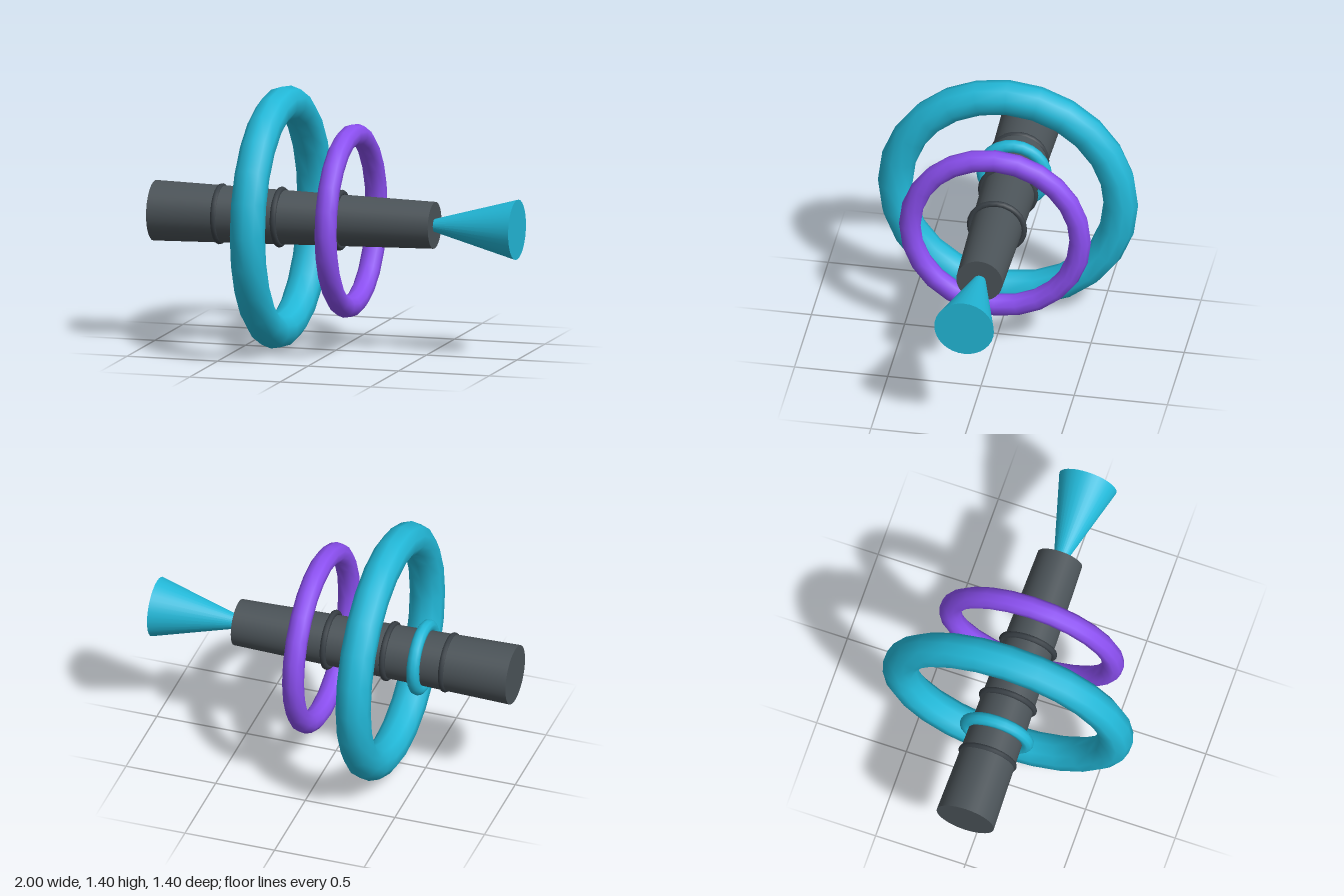
import * as THREE from 'three';

const AXIS_Y = 0.702;

export function createModel() {
  const model = new THREE.Group();
  const cyan = new THREE.MeshStandardMaterial({ color: 0x22b8d8 });
  const purple = new THREE.MeshStandardMaterial({ color: 0x8b4ff0 });
  const metal = new THREE.MeshStandardMaterial({ color: 0x4b5358 });
  const darkMetal = new THREE.MeshStandardMaterial({ color: 0x394046 });

  function add(name, geometry, material, x) {
    const mesh = new THREE.Mesh(geometry, material);
    mesh.name = name;
    mesh.position.set(x, AXIS_Y, 0);
    model.add(mesh);
  }

  // Tapered round part along x, from x0 (radius r0) to x1 (radius r1)
  function taper(name, x0, r0, x1, r1, material) {
    const geometry = new THREE.CylinderGeometry(r1, r0, x1 - x0, 32).rotateZ(-Math.PI / 2);
    add(name, geometry, material, (x0 + x1) / 2);
  }

  // Ring around the x axis
  function ring(name, x, radius, tube, material, sides = 10) {
    add(name, new THREE.TorusGeometry(radius, tube, sides, 24).rotateY(Math.PI / 2), material, x);
  }

  // Barrel and flared nozzle, whose tip sits inside the barrel
  taper('barrel', -1, 0.16, 0.545, 0.124, metal);
  taper('nozzle', 0.42, 0, 1, 0.16, cyan);

  // Thin bands on the barrel
  for (let i = 0; i < 3; i++) ring('barrelBand', -0.635 + i * 0.33, 0.145, 0.017, darkMetal, 8);

  // Coloured rings
  ring('collarRing', -0.487, 0.171, 0.034, cyan);
  ring('largeRing', -0.303, 0.605, 0.093, cyan);
  ring('smallRing', 0.083, 0.457, 0.058, purple);

  return model;
}
